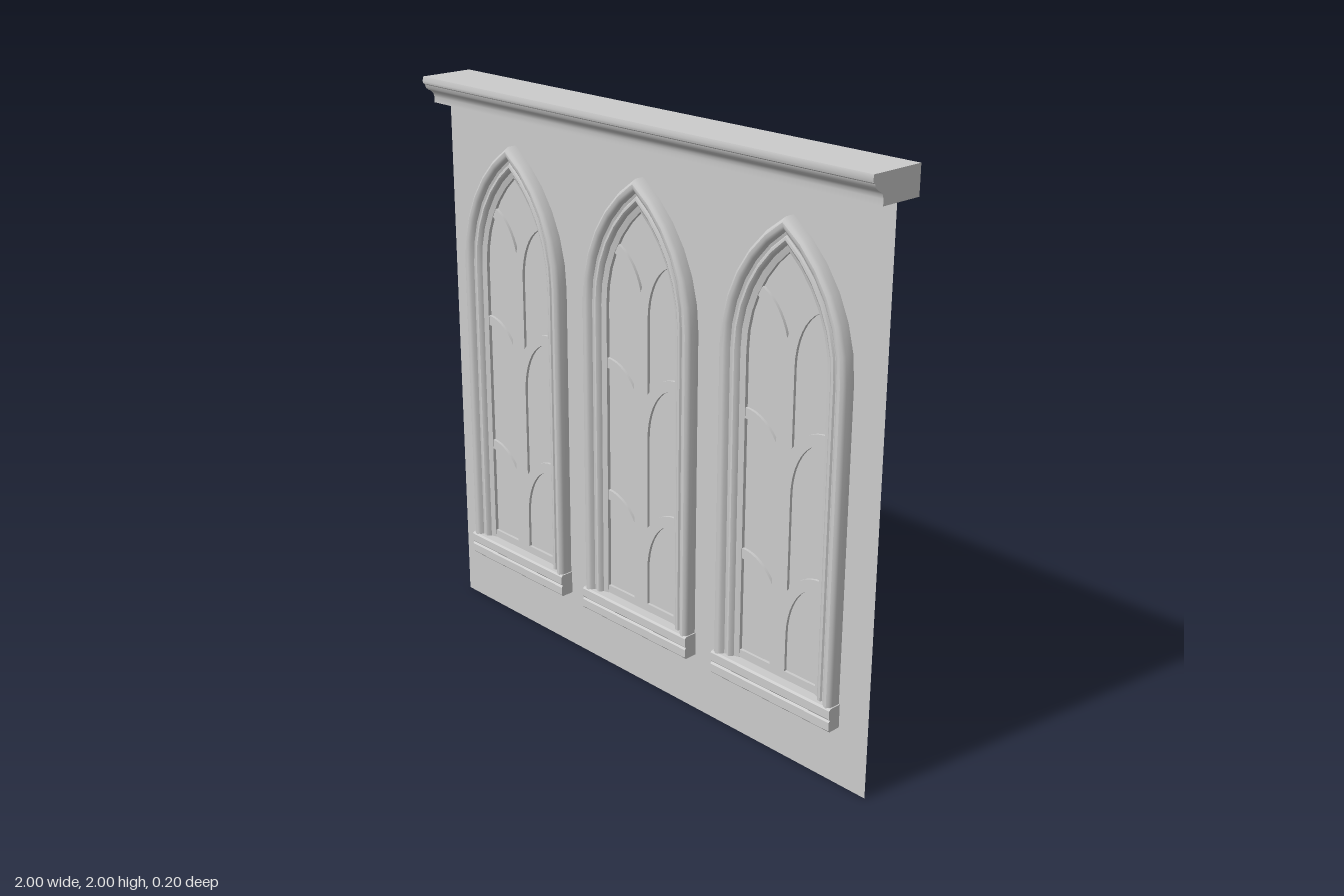
import * as THREE from 'three';
import { toCreasedNormals } from 'three/addons/utils/BufferGeometryUtils.js';

const SPRING = 1.345; // height where the arches begin
const OFFSET = 0.283; // arc centres sit this far past the middle line
const WALL_Z = -0.01;
const INNER = 0.163; // half width of the glazed opening

const grey = new THREE.MeshStandardMaterial({ color: 0xcccccc });
const greyDouble = new THREE.MeshStandardMaterial({ color: 0xcccccc, side: THREE.DoubleSide });

function mesh(name, geometry, material = grey) {
  const m = new THREE.Mesh(geometry, material);
  m.name = name;
  return m;
}

// Outline of a pointed arch, from the foot at +x over the apex to the foot at -x
function archPath(halfWidth, foot, segments = 6) {
  const r = halfWidth + OFFSET;
  const end = Math.acos(OFFSET / r);
  const half = [[halfWidth, foot]];
  for (let i = 0; i <= segments; i++) {
    const a = (end * i) / segments;
    half.push([r * Math.cos(a) - OFFSET, SPRING + r * Math.sin(a)]);
  }
  const mirrored = half.slice(0, -1).reverse().map(([x, y]) => [-x, y]);
  return half.concat(mirrored);
}

// Sweep a closed (half width, z) profile around the arch
function archMoulding(profile, foot) {
  const paths = profile.map(([w]) => archPath(w, foot));
  const rows = paths[0].length;
  const n = profile.length;
  const position = [];
  const index = [];
  for (let i = 0; i < rows; i++) {
    for (let j = 0; j < n; j++) position.push(paths[j][i][0], paths[j][i][1], profile[j][1]);
  }
  for (let i = 0; i < rows - 1; i++) {
    for (let j = 0; j < n; j++) {
      const k = (j + 1) % n;
      const a = i * n + j, b = a + n, c = i * n + k, d = c + n;
      index.push(a, b, c, b, d, c);
    }
  }
  const g = new THREE.BufferGeometry();
  g.setAttribute('position', new THREE.Float32BufferAttribute(position, 3));
  g.setIndex(index);
  return toCreasedNormals(g, 0.6);
}

// Extrude a (z, y) profile along x, centred
function extrudeX(points, width) {
  const shape = new THREE.Shape(points.map(([z, y]) => new THREE.Vector2(z, y)));
  const g = new THREE.ExtrudeGeometry(shape, { depth: width, bevelEnabled: false });
  g.translate(0, 0, -width / 2);
  g.rotateY(-Math.PI / 2);
  return toCreasedNormals(g, 0.6);
}

// Curved bar that leaves the mullion and bends out to the frame
function branchGeometry(side, y0) {
  const inner = [], outer = [];
  const steps = 10;
  const outerEnd = Math.acos(INNER / 0.175);
  for (let i = 0; i <= steps; i++) {
    const t = i / steps;
    const a = (t * Math.PI) / 2;
    inner.push([0.131 * Math.cos(a), 0.2 * Math.sin(a)]);
    const b = outerEnd + t * (Math.PI / 2 - outerEnd);
    outer.push([0.175 * Math.cos(b), 0.235 * Math.sin(b)]);
  }
  const points = inner.concat(outer.reverse(), [[INNER, 0]]);
  const shape = new THREE.Shape(points.map(([x, y]) => new THREE.Vector2(side * (INNER - x), y0 + y)));
  const g = new THREE.ExtrudeGeometry(shape, { depth: 0.02, bevelEnabled: false });
  g.translate(0, 0, -0.02);
  return toCreasedNormals(g, 0.6);
}

function box(name, w, h, d, x, y, z) {
  const m = mesh(name, new THREE.BoxGeometry(w, h, d));
  m.position.set(x, y, z);
  return m;
}

function createWindow() {
  const g = new THREE.Group();
  g.name = 'archedWindow';

  // Stepped arch surround with an outer roll, a hollow and an inner roll
  g.add(mesh('archSurround', archMoulding([
    [0.253, -0.012], [0.253, 0.022], [0.248, 0.032], [0.24, 0.037], [0.23, 0.036],
    [0.221, 0.03], [0.215, 0.019], [0.206, 0.016], [0.202, 0.022], [0.194, 0.023],
    [0.186, 0.017], [0.182, 0.008], [0.172, 0.005], [INNER, 0.002], [INNER, -0.016],
    [0.172, -0.022], [0.198, -0.022], [0.2, -0.012],
  ], 0.27)));

  // Sill made of two softened courses
  for (const [name, y0, y1] of [['lowerSill', 0.205, 0.246], ['upperSill', 0.246, 0.287]]) {
    const f = 0.04, b = -0.033, c = 0.006;
    g.add(mesh(name, extrudeX([
      [b + c, y0], [f - c, y0], [f, y0 + c], [f, y1 - c],
      [f - c, y1], [b + c, y1], [b, y1 - c], [b, y0 + c],
    ], 0.514)));
  }

  // Tracery
  g.add(box('bottomRail', 2 * INNER, 0.045, 0.02, 0, 0.2925, -0.01));
  g.add(box('mullion', 0.064, 1.11, 0.02, 0, 0.845, -0.01));
  for (const y of [0.445, 0.925, 1.34]) {
    for (const side of [-1, 1]) g.add(mesh('traceryBranch', branchGeometry(side, y)));
  }
  return g;
}

export function createModel() {
  const model = new THREE.Group();
  model.name = 'archedWindowWall';

  // Thin wall sheet, which also closes the window openings
  const wall = mesh('wall', new THREE.PlaneGeometry(1.99, 1.93), greyDouble);
  wall.position.set(0, 0.965, WALL_Z);
  model.add(wall);

  // Cornice
  model.add(mesh('cornice', extrudeX([
    [-0.1, 1.905], [0.056, 1.905], [0.056, 1.925], [0.06, 1.938], [0.068, 1.946],
    [0.08, 1.952], [0.09, 1.96], [0.094, 1.972], [0.1, 1.976], [0.103, 1.985],
    [0.1, 2], [-0.1, 2],
  ], 2)));

  for (const x of [-0.642, -0.012, 0.622]) {
    const w = createWindow();
    w.position.x = x;
    model.add(w);
  }
  return model;
}
